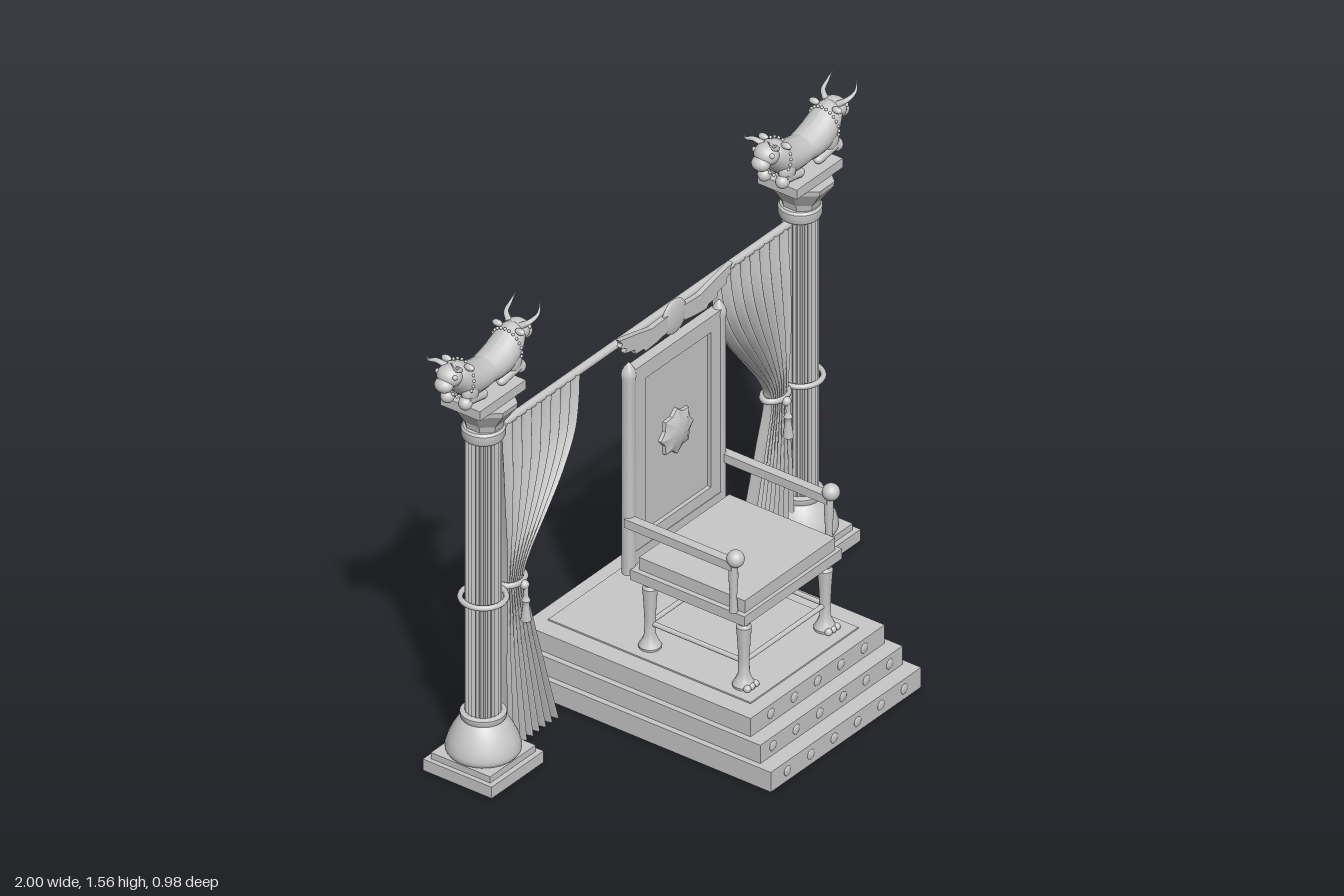
import * as THREE from 'three';
import { toCreasedNormals } from 'three/addons/utils/BufferGeometryUtils.js';

const stone = new THREE.MeshStandardMaterial({ color: 0xc8c8c8 });
stone.name = 'grey stone';
stone.side = THREE.DoubleSide;

const V = (x, y, z) => new THREE.Vector3(x, y, z);

function add(parent, name, geometry, x = 0, y = 0, z = 0) {
  const mesh = new THREE.Mesh(geometry, stone);
  mesh.name = name;
  mesh.position.set(x, y, z);
  parent.add(mesh);
  return mesh;
}

// Box given by its limits on each axis
function box(parent, name, x0, x1, y0, y1, z0, z1) {
  return add(parent, name, new THREE.BoxGeometry(x1 - x0, y1 - y0, z1 - z0),
    (x0 + x1) / 2, (y0 + y1) / 2, (z0 + z1) / 2);
}

// Box that is hollow and open underneath
function hollowBox(...args) {
  const g = box(...args).geometry, index = Array.from(g.index.array);
  index.splice(18, 6);
  g.setIndex(index);
  g.clearGroups();
}

function ball(parent, name, r, x, y, z, sx = 1, sy = 1, sz = 1) {
  return add(parent, name, new THREE.SphereGeometry(r, 20, 14).scale(sx, sy, sz), x, y, z);
}

function turned(points, segments = 24) {
  const g = new THREE.LatheGeometry(points.map(p => new THREE.Vector2(...p)), segments);
  return toCreasedNormals(g, 0.6);
}

// Round bar between two points
function bar(parent, name, a, b, r, r2 = r) {
  const d = b.clone().sub(a);
  const m = add(parent, name, new THREE.CylinderGeometry(r2, r, d.length(), 12));
  m.position.copy(a).add(b).multiplyScalar(0.5);
  m.quaternion.setFromUnitVectors(V(0, 1, 0), d.normalize());
}

// Tube that narrows to a point
function horn(parent, points) {
  const curve = new THREE.CatmullRomCurve3(points);
  const n = 12, g = new THREE.TubeGeometry(curve, n, 0.011, 8);
  const p = g.attributes.position, v = V(0, 0, 0);
  for (let i = 0; i < p.count; i++) {
    const t = Math.floor(i / 9) / n, c = curve.getPointAt(t);
    v.fromBufferAttribute(p, i).sub(c).multiplyScalar(1 - 0.88 * t).add(c);
    p.setXYZ(i, v.x, v.y, v.z);
  }
  g.computeVertexNormals();
  add(parent, 'horn', g);
}

// Front half of a kneeling bull facing +x
function bullHalf() {
  const g = new THREE.Group();
  g.name = 'bullHalf';
  // x, centre height, half height, half width
  const rings = [[0, 1.41, 0.045, 0.052], [0.03, 1.411, 0.049, 0.055], [0.07, 1.418, 0.056, 0.057],
    [0.105, 1.432, 0.063, 0.056], [0.135, 1.452, 0.056, 0.051], [0.16, 1.466, 0.038, 0.038], [0.175, 1.47, 0.002, 0.002]];
  const body = new THREE.PlaneGeometry(1, 1, 24, rings.length - 1), p = body.attributes.position;
  for (let i = 0; i < p.count; i++) {
    const [x, y, ry, rz] = rings[Math.floor(i / 25)], a = (i % 25) / 24 * Math.PI * 2;
    p.setXYZ(i, x, y + ry * Math.cos(a), -rz * Math.sin(a));
  }
  body.computeVertexNormals();
  add(g, 'bullBody', body);
  ball(g, 'bullHead', 0.037, 0.165, 1.473, 0, 1.05, 0.95, 1.12);
  ball(g, 'bullMuzzle', 0.027, 0.194, 1.453, 0, 1, 0.9, 1.15);
  for (const s of [-1, 1]) {
    ball(g, 'bullEye', 0.008, 0.182, 1.485, s * 0.033);
    ball(g, 'bullEar', 0.018, 0.125, 1.497, s * 0.043, 0.6, 0.6, 1);
    horn(g, [V(0.155, 1.495, s * 0.022), V(0.172, 1.512, s * 0.046), V(0.203, 1.528, s * 0.053), V(0.219, 1.56, s * 0.045)]);
    ball(g, 'bullShoulder', 0.034, 0.105, 1.397, s * 0.032, 1, 1.15, 0.65);
    bar(g, 'bullForeleg', V(0.13, 1.38, s * 0.034), V(0.05, 1.36, s * 0.034), 0.02, 0.015);
    ball(g, 'bullKnee', 0.022, 0.132, 1.37, s * 0.034);
    ball(g, 'bullHoof', 0.015, 0.05, 1.36, s * 0.034, 1.4, 1, 1);
  }
  // Beaded collar
  for (let i = 0; i < 22; i++) {
    const a = i / 22 * Math.PI * 2;
    ball(g, 'collarBead', 0.005, 0.118 - 0.012 * Math.cos(a), 1.44 + 0.061 * Math.cos(a), 0.055 * Math.sin(a));
  }
  return g;
}

function column(side) {
  const g = new THREE.Group();
  g.name = side > 0 ? 'leftColumn' : 'rightColumn';
  hollowBox(g, 'plinth', -0.128, 0.128, 0, 0.04, -0.13, 0.13);
  box(g, 'plinthStep', -0.112, 0.112, 0.04, 0.062, -0.112, 0.112);
  add(g, 'bellBase', turned([[0, 0.06], [0.108, 0.06], [0.116, 0.072], [0.116, 0.086], [0.108, 0.112], [0.095, 0.14],
    [0.08, 0.166], [0.068, 0.18], [0.071, 0.186], [0.071, 0.2], [0.055, 0.205]], 32));
  // Fluted shaft
  const flutes = 24, outline = [];
  for (let i = 0; i < flutes * 4; i++) {
    const a = i / (flutes * 4) * Math.PI * 2, r = [0.057, 0.054, 0.048, 0.054][i % 4];
    outline.push(new THREE.Vector2(r * Math.cos(a), r * Math.sin(a)));
  }
  add(g, 'flutedShaft', new THREE.ExtrudeGeometry(new THREE.Shape(outline), { depth: 0.99, bevelEnabled: false })
    .rotateX(-Math.PI / 2), 0, 0.2, 0);
  add(g, 'neckRing', turned([[0.05, 1.172], [0.064, 1.177], [0.068, 1.187], [0.068, 1.21], [0.062, 1.218], [0, 1.22]]));
  const flare = new THREE.LatheGeometry([[0.062, 1.215], [0.068, 1.24], [0.108, 1.295], [0.111, 1.312], [0, 1.312]]
    .map(q => new THREE.Vector2(...q)), 8, Math.PI / 8).scale(0.86, 1, 1);
  add(g, 'capital', toCreasedNormals(flare, 0.3));
  box(g, 'abacus', -0.113, 0.113, 1.312, 1.345, -0.074, 0.074);
  const front = bullHalf(), back = bullHalf();
  back.rotation.y = Math.PI;
  g.add(front, back);
  add(g, 'tieRing', new THREE.TorusGeometry(0.07, 0.009, 8, 32).rotateX(Math.PI / 2), 0, 0.605, 0);
  g.position.set(side * 0.78, 0, -0.29);
  return g;
}

// Curtain gathered at a waist, with tie and tassel
function curtain(side) {
  const g = new THREE.Group();
  g.name = side > 0 ? 'leftCurtain' : 'rightCurtain';
  // Inner edge, with pleat depth as z
  const inner = new THREE.CatmullRomCurve3([V(0.32, 1.165, 0.006), V(0.33, 1.08, 0.01), V(0.355, 0.99, 0.016),
    V(0.42, 0.88, 0.02), V(0.5, 0.78, 0.022), V(0.585, 0.67, 0.02), V(0.61, 0.605, 0.018),
    V(0.575, 0.45, 0.022), V(0.515, 0.23, 0.027), V(0.455, 0.02, 0.03)]);
  const cols = 96, rows = 40;
  const sheet = new THREE.PlaneGeometry(1, 1, cols, rows), p = sheet.attributes.position;
  for (let i = 0; i < p.count; i++) {
    const u = (i % (cols + 1)) / cols, e = inner.getPoint(Math.floor(i / (cols + 1)) / rows);
    const outer = 0.705 - 0.015 * Math.exp(-(((e.y - 0.6) / 0.2) ** 2));
    p.setXYZ(i, side * THREE.MathUtils.lerp(outer, e.x, u), e.y, e.z * Math.cos(u * Math.PI * 16));
  }
  sheet.computeVertexNormals();
  add(g, 'drape', sheet, 0, 0, -0.284);
  add(g, 'curtainTie', new THREE.TorusGeometry(0.045, 0.009, 8, 28).rotateX(Math.PI / 2).scale(1.1, 1.2, 0.8),
    side * 0.648, 0.605, -0.283);
  ball(g, 'tasselKnot', 0.015, side * 0.645, 0.598, -0.238);
  add(g, 'tassel', turned([[0, 0.47], [0.017, 0.475], [0.01, 0.53], [0.014, 0.545], [0.007, 0.56], [0.008, 0.595], [0, 0.6]],
    12), side * 0.645, 0, -0.232);
  return g;
}

function platform() {
  const g = new THREE.Group();
  g.name = 'steppedPlatform';
  [[0.37, 0, 0.07, 0.482, 6], [0.35, 0.07, 0.135, 0.427, 6], [0.33, 0.135, 0.2, 0.375, 5]].forEach(([w, y0, y1, z, n], k) => {
    (k ? box : hollowBox)(g, 'step', -w, w, y0, y1, -0.49, z);
    for (let i = 0; i < n; i++)
      ball(g, 'stepStud', 0.017, (i - (n - 1) / 2) * 0.115, (y0 + y1) / 2, z, 1, 1, 0.3);
  });
  box(g, 'topPanel', -0.265, 0.265, 0.2, 0.205, -0.44, 0.325);
  return g;
}

function rectangle(Type, x, y0, y1) {
  return new Type([[-x, y0], [x, y0], [x, y1], [-x, y1]].map(q => new THREE.Vector2(...q)));
}

function throne() {
  const g = new THREE.Group();
  g.name = 'throne';
  box(g, 'seat', -0.24, 0.24, 0.445, 0.48, -0.15, 0.283);
  box(g, 'cushion', -0.222, 0.222, 0.48, 0.523, -0.13, 0.27);
  const leg = turned([[0, 0.2], [0.034, 0.2], [0.036, 0.213], [0.026, 0.23], [0.018, 0.25], [0.017, 0.3], [0.02, 0.36],
    [0.024, 0.415], [0.018, 0.425], [0.023, 0.445]], 16);
  for (const s of [-1, 1]) {
    for (const z of [0.25, -0.105]) add(g, 'leg', leg, s * 0.2, 0, z);
    for (const i of [-1, 0, 1]) ball(g, 'toe', 0.012, s * 0.2 + i * 0.02, 0.212, 0.278);
    bar(g, 'sideStretcher', V(s * 0.2, 0.29, -0.105), V(s * 0.2, 0.29, 0.25), 0.008);
    add(g, 'armPost', turned([[0.014, 0.48], [0.011, 0.53], [0.015, 0.6], [0.014, 0.65]], 16), s * 0.235, 0, 0.237);
    ball(g, 'armKnob', 0.028, s * 0.235, 0.67, 0.245);
    box(g, 'armrest', s * 0.235 - 0.016, s * 0.235 + 0.016, 0.63, 0.66, -0.165, 0.24);
    // Back stile with pointed cap
    add(g, 'backStile', turned([[0, 0.455], [0.022, 0.455], [0.022, 1.14], [0.024, 1.155], [0.022, 1.17], [0.013, 1.187],
      [0, 1.203]], 16), s * 0.222, 0, -0.169);
  }
  for (const z of [0.25, -0.105]) bar(g, 'crossStretcher', V(-0.2, 0.29, z), V(0.2, 0.29, z), 0.008);
  // Framed back
  const frame = rectangle(THREE.Shape, 0.215, 0.53, 1.175);
  frame.holes.push(rectangle(THREE.Path, 0.162, 0.57, 1.12));
  add(g, 'backFrame', new THREE.ExtrudeGeometry(frame, { depth: 0.036, bevelEnabled: false }), 0, 0, -0.188);
  box(g, 'backPanel', -0.165, 0.165, 0.565, 1.125, -0.176, -0.166);
  box(g, 'lowerRail', -0.21, 0.21, 0.485, 0.53, -0.189, -0.15);
  // Domed star with eight points
  const star = new THREE.LatheGeometry([[0.082, 0], [0.08, 0.012], [0.05, 0.024], [0, 0.03]]
    .map(q => new THREE.Vector2(...q)), 16);
  const p = star.attributes.position;
  for (let i = 0; i < p.count; i++)
    if (Math.floor(i / 4) % 2) p.setXYZ(i, p.getX(i) * 0.8, p.getY(i), p.getZ(i) * 0.8);
  add(g, 'starOrnament', toCreasedNormals(star.rotateX(Math.PI / 2), 0.6), 0, 0.85, -0.167);
  return g;
}

function wingedDisc() {
  const g = new THREE.Group();
  g.name = 'wingedDisc';
  ball(g, 'disc', 0.06, 0, 1.253, -0.168, 1, 1, 0.22);
  for (const s of [-1, 1]) {
    // Wing outline with stepped feather tips
    const outline = [[0.04, 1.222], [0.1, 1.212], [0.15, 1.208], [0.16, 1.22], [0.2, 1.222], [0.205, 1.24], [0.25, 1.25],
      [0.245, 1.265], [0.272, 1.28], [0.265, 1.29], [0.278, 1.308], [0.2, 1.292], [0.12, 1.272], [0.04, 1.276]];
    const wing = new THREE.Shape(outline.map(([x, y]) => new THREE.Vector2(s * x, y)));
    add(g, 'wing', new THREE.ExtrudeGeometry(wing, { depth: 0.018, bevelEnabled: false }), 0, 0, -0.177);
  }
  return g;
}

export function createModel() {
  const model = new THREE.Group();
  model.name = 'throneWithColumns';
  model.add(platform(), throne(), wingedDisc());
  for (const s of [-1, 1]) model.add(column(s), curtain(s));
  bar(model, 'curtainRod', V(-0.78, 1.162, -0.298), V(0.78, 1.162, -0.298), 0.014);
  return model;
}
